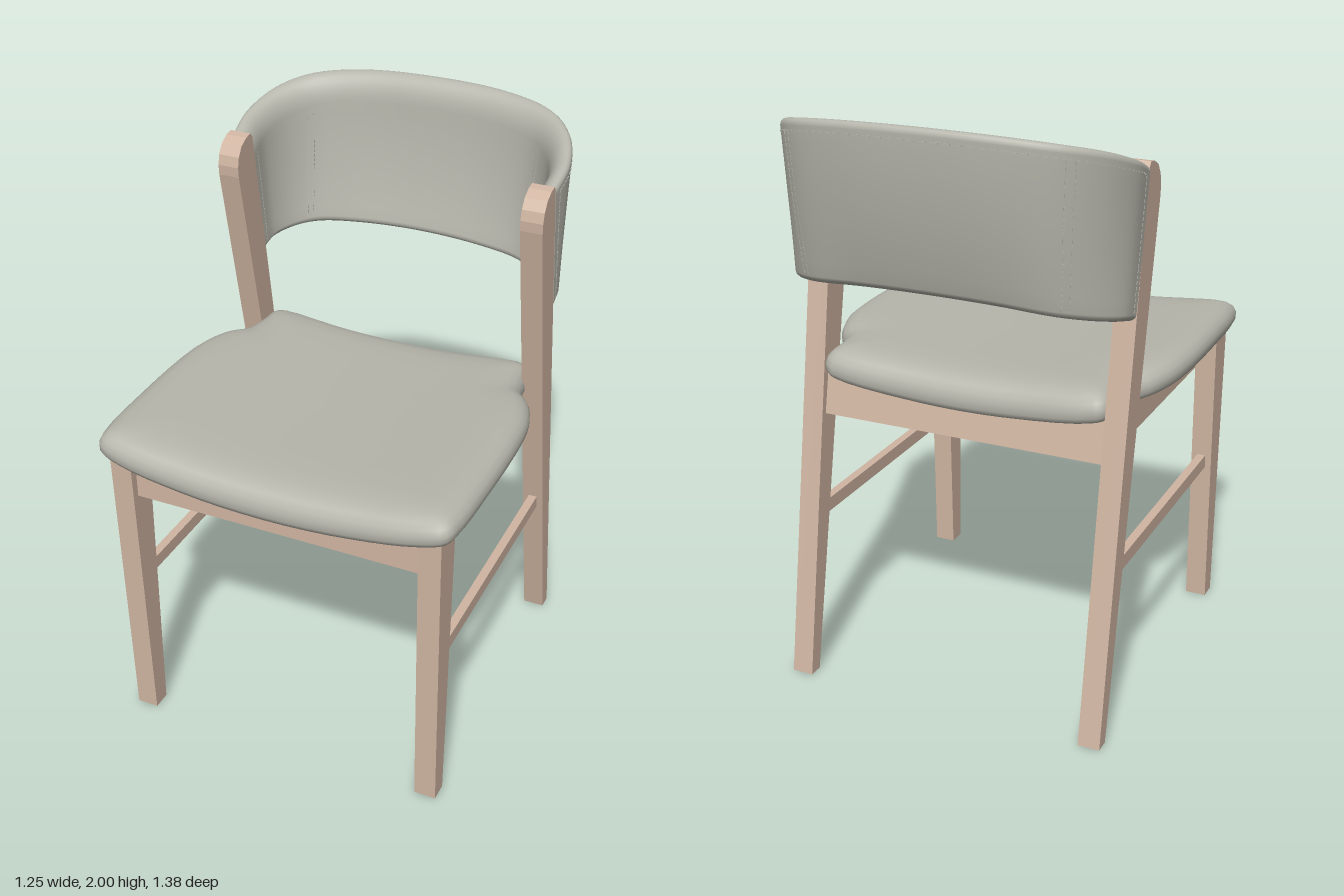
import * as THREE from 'three';
import { mergeGeometries } from 'three/addons/utils/BufferGeometryUtils.js';

const wood = new THREE.MeshStandardMaterial({ color: 0xd0b5a2 });
wood.name = 'pale wood';
const fabric = new THREE.MeshStandardMaterial({ color: 0xb6b5ab });
fabric.name = 'grey upholstery';

function add(parent, name, geometry, material) {
  const mesh = new THREE.Mesh(geometry, material);
  mesh.name = name;
  parent.add(mesh);
  return mesh;
}

// Skin closed rings of points, with a separate fan closing each end
function loft(rings) {
  const n = rings[0].length, pos = [], index = [];
  const push = (p) => pos.push(p.x, p.y, p.z) / 3 - 1;
  rings.forEach((ring) => ring.forEach(push));
  for (let r = 0; r < rings.length - 1; r++) {
    for (let i = 0; i < n; i++) {
      const a = r * n + i, b = r * n + (i + 1) % n;
      index.push(a, b, b + n, a, b + n, a + n);
    }
  }
  [rings[0], rings[rings.length - 1]].forEach((ring, end) => {
    const mid = new THREE.Vector3();
    ring.forEach((p) => mid.addScaledVector(p, 1 / n));
    const c = push(mid), start = c + 1;
    ring.forEach(push);
    for (let i = 0; i < n; i++) {
      const a = start + i, b = start + (i + 1) % n;
      if (end) index.push(c, a, b); else index.push(c, b, a);
    }
  });
  const g = new THREE.BufferGeometry();
  g.setAttribute('position', new THREE.Float32BufferAttribute(pos, 3));
  g.setIndex(index);
  g.computeVertexNormals();
  return g;
}

// Side profile given as [z, y] points, extruded across x
function sideBoard(points, width, x) {
  const shape = new THREE.Shape(points.map(([z, y]) => new THREE.Vector2(z, y)));
  const g = new THREE.ExtrudeGeometry(shape, { depth: width, bevelEnabled: false });
  return g.rotateY(-Math.PI / 2).translate(x + width / 2, 0, 0);
}

// Saddle-shaped cushion: outline rings stacked between two curved surfaces
function seatGeometry() {
  const half = [[0.3, 0.685], [0.52, 0.675], [0.598, 0.652], [0.617, 0.58], [0.625, 0.4], [0.625, 0.1],
    [0.61, -0.04], [0.575, -0.14], [0.525, -0.21], [0.508, -0.3], [0.5, -0.375], [0.465, -0.4], [0.2, -0.4]];
  const outline = [[0, 0.688], ...half, [0, -0.4], ...half.map(([x, z]) => [-x, z]).reverse()];
  const curve = new THREE.CatmullRomCurve3(outline.map(([x, z]) => new THREE.Vector3(x, 0, z)), true, 'centripetal');
  const base = curve.getPoints(112).slice(0, -1);
  // [inset, height fraction]
  const profile = [[0.5, 0], [0.3, 0], [0.12, 0], [0.03, 0.0], [0.008, 0.06], [0, 0.2], [0, 0.4], [0.008, 0.6],
    [0.025, 0.77], [0.05, 0.89], [0.09, 0.96], [0.15, 1], [0.25, 1], [0.35, 1], [0.45, 1], [0.54, 1]];
  return loft(profile.map(([inset, t]) => base.map((p) => {
    const s = 1 - inset / 0.58;
    const x = p.x * s, z = 0.12 + (p.z - 0.12) * s;
    const low = 1.015 + 0.18 * x * x, high = 1.14 + 0.13 * x * x;
    return new THREE.Vector3(x, low + (high - low) * t, z);
  })));
}

// Backrest guides: upper and lower lines running from left end to right end
function guide(half, centre) {
  const points = [...half, centre, ...half.map(([x, y, z]) => [-x, y, z]).reverse()];
  return new THREE.CatmullRomCurve3(points.map((p) => new THREE.Vector3(...p)));
}
const upper = guide([[0.542, 1.853, -0.262], [0.547, 1.9, -0.38], [0.505, 1.945, -0.5],
  [0.415, 1.975, -0.59], [0.24, 1.994, -0.642]], [0, 2, -0.656]);
const lower = guide([[0.54, 1.39, -0.338], [0.53, 1.41, -0.41], [0.478, 1.43, -0.485],
  [0.395, 1.447, -0.538], [0.23, 1.463, -0.562]], [0, 1.47, -0.572]);

// u runs along the wrap, v runs up, w runs from inner (-1) to outer (1) face
function wrapCentre(u, v) {
  const a = lower.getPoint(u), b = upper.getPoint(u);
  const belly = Math.sin(Math.PI * u) * 0.9;
  const p = a.clone().lerp(b, v);
  p.z = a.z + (b.z - a.z) * (v + belly * v * (1 - v));
  return p;
}
function wrapPoint(u, v, w) {
  const t = wrapCentre(Math.min(u + 0.01, 1), v).sub(wrapCentre(Math.max(u - 0.01, 0), v));
  const normal = new THREE.Vector3(-t.z, 0, t.x).normalize();
  return wrapCentre(u, v).addScaledVector(normal, 0.035 * w);
}

// Cross-section: tight roll at the bottom, inner face easing over to a raised outer top edge
function backrestGeometry() {
  const section = [], e = 0.05;
  for (let i = 0; i <= 10; i++) section.push([0.96 - (0.96 - e) * i / 10, 1]);
  for (let i = 1; i < 8; i++) section.push([e - e * Math.sin(Math.PI * i / 8), Math.cos(Math.PI * i / 8)]);
  for (let i = 0; i <= 10; i++) section.push([e + (0.82 - e) * i / 10, -1]);
  for (let i = 1; i <= 8; i++) {
    const a = Math.PI * i / 16;
    section.push([0.82 + 0.18 * Math.sin(a), 0.5 - 1.5 * Math.cos(a)]);
  }
  for (let i = 1; i < 4; i++) {
    const a = Math.PI * i / 8;
    section.push([0.96 + 0.04 * Math.cos(a), 0.5 + 0.5 * Math.sin(a)]);
  }
  const rings = [];
  for (let i = 0; i <= 64; i++) rings.push(section.map(([v, w]) => wrapPoint(i / 64, v, w)));
  return loft(rings);
}

// Row of small raised stitches between two surface positions
function stitchRow(u0, v0, u1, v1, w, count) {
  const stitches = [], dummy = new THREE.Object3D();
  const at = (k) => wrapPoint(u0 + (u1 - u0) * k / count, v0 + (v1 - v0) * k / count, w);
  for (let i = 0; i < count; i++) {
    const a = at(i), b = at(i + 0.6);
    dummy.position.copy(a).lerp(b, 0.5);
    dummy.lookAt(b);
    dummy.updateMatrix();
    stitches.push(new THREE.BoxGeometry(0.004, 0.004, a.distanceTo(b)).applyMatrix4(dummy.matrix));
  }
  return mergeGeometries(stitches);
}

export function createModel() {
  const chair = new THREE.Group();
  chair.name = 'chair';

  // Upholstery
  add(chair, 'seatCushion', seatGeometry(), fabric);
  add(chair, 'backrest', backrestGeometry(), fabric);
  const rows = [];
  for (const [w, top] of [[-1, 0.82], [1, 0.94]]) {
    for (const u of [0.265, 0.285, 0.715, 0.735, 0.03, 0.97]) rows.push(stitchRow(u, 0.06, u, top, w, 24));
  }
  rows.push(stitchRow(0.03, 0.93, 0.97, 0.93, 1, 64));
  add(chair, 'backrestStitching', mergeGeometries(rows), fabric);

  // Legs, inset side rails and stretchers on both sides
  for (const [side, s] of [['left', 1], ['right', -1]]) {
    add(chair, side + 'FrontLeg', sideBoard([[0.543, 0], [0.607, 0], [0.635, 1.08], [0.52, 1.08]], 0.075, s * 0.5375), wood);
    add(chair, side + 'BackLeg', sideBoard([[-0.56, 0], [-0.51, 0], [-0.157, 1.74], [-0.155, 1.775], [-0.163, 1.81],
      [-0.185, 1.842], [-0.22, 1.86], [-0.25, 1.865], [-0.262, 1.85]], 0.075, s * 0.5375), wood);
    add(chair, side + 'SideRail', sideBoard([[-0.35, 0.93], [0.56, 0.93], [0.56, 1.045], [-0.33, 1.045]], 0.05, s * 0.475), wood);
    add(chair, side + 'Stretcher', sideBoard([[-0.41, 0.54], [0.54, 0.54], [0.54, 0.588], [-0.4, 0.588]], 0.03, s * 0.5375), wood);
  }

  // Cross rails
  add(chair, 'frontRail', sideBoard([[0.555, 0.92], [0.605, 0.92], [0.605, 1.062], [0.555, 1.062]], 1.01, 0), wood);
  add(chair, 'backRail', sideBoard([[-0.39, 0.925], [-0.34, 0.925], [-0.313, 1.06], [-0.363, 1.06]], 1.01, 0), wood);
  return chair;
}
